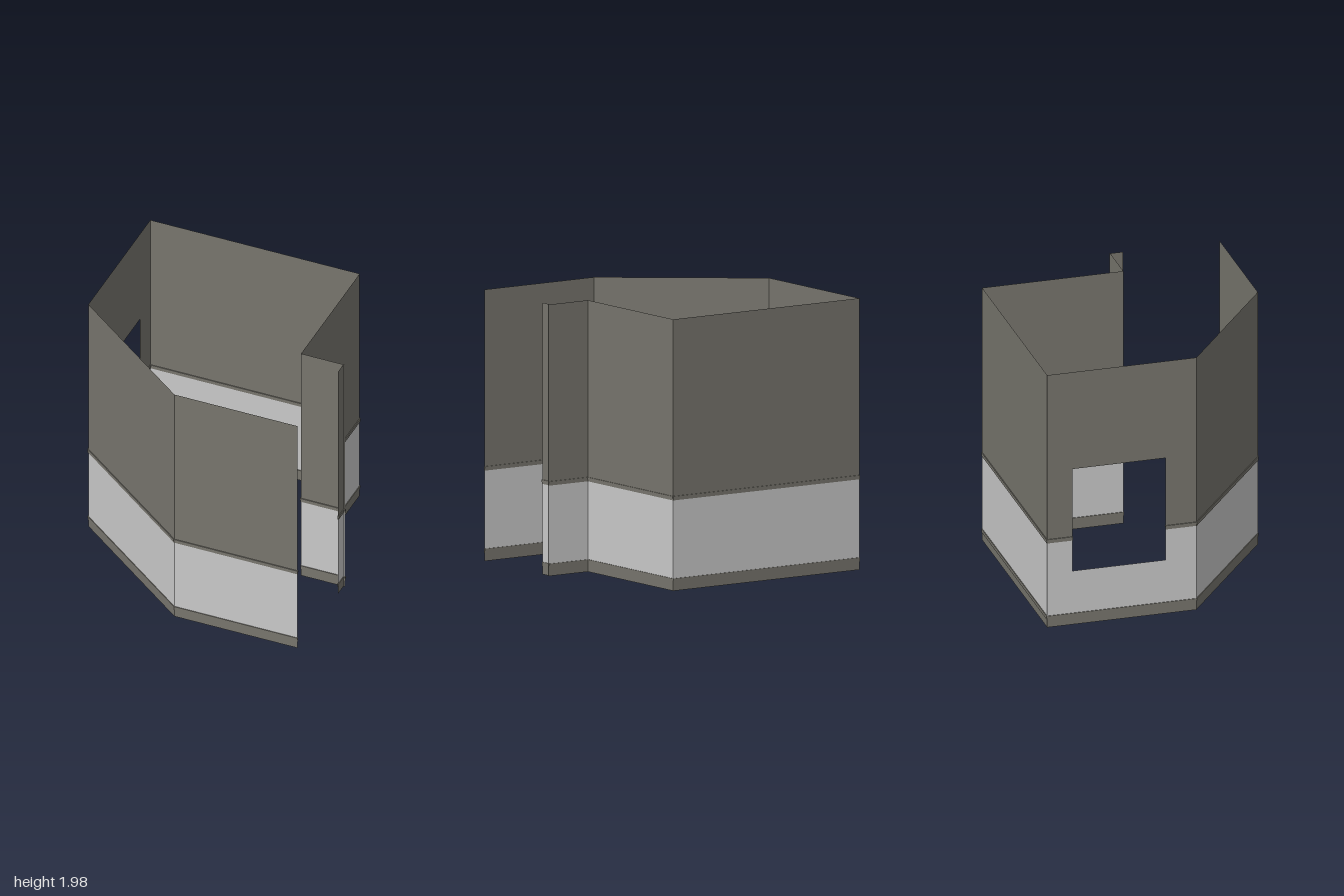
import * as THREE from 'three';

// Floor plan corners [x, z] of the open room shell
const WALLS = {
  frontWall: [[0.98, 0.94], [0.012, 0.94]],
  angledWall: [[0.012, 0.94], [-0.993, 0.18]],
  windowWall: [[-0.993, 0.18], [-0.993, -0.94]],
  backWall: [[-0.993, -0.94], [0.65, -0.94]],
  sideWall: [[0.65, -0.94], [0.65, 0.12]],
  returnWall: [[0.65, 0.12], [0.997, 0.12]],
  doorJamb: [[0.983, 0.12], [0.983, 0.215]],
};

// Heights of the wall bands
const TOP = 1.98, RAIL_TOP = 0.69, RAIL_LOW = 0.66, CAP_TOP = 0.09, CAP_LOW = 0.06;

// Window opening, as distance along the window wall and height
const WINDOW = { s0: 0.23, s1: 0.93, y0: 0.42, y1: 1.22 };

export function createModel() {
  const model = new THREE.Group();
  model.name = 'roomShell';

  const upperPaint = new THREE.MeshStandardMaterial({ color: 0x77756d, side: THREE.DoubleSide });
  upperPaint.name = 'warm grey paint';
  const lowerPaint = new THREE.MeshStandardMaterial({ color: 0xc9c9c9, side: THREE.DoubleSide });
  lowerPaint.name = 'light grey paint';

  for (const [name, [a, b]] of Object.entries(WALLS)) {
    const dx = b[0] - a[0], dz = b[1] - a[1];
    const length = Math.hypot(dx, dz);
    const wall = new THREE.Group();
    wall.name = name;
    wall.position.set(a[0], 0, a[1]);
    wall.rotation.y = Math.atan2(-dz, dx);
    model.add(wall);

    const add = (geometry, material, part, s, y) => {
      const mesh = new THREE.Mesh(geometry, material);
      mesh.position.set(s, y, 0);
      mesh.name = part;
      wall.add(mesh);
    };
    // Flat sheet between two distances and two heights
    const sheet = (part, material, s0, s1, y0, y1) =>
      add(new THREE.PlaneGeometry(s1 - s0, y1 - y0), material, part, (s0 + s1) / 2, (y0 + y1) / 2);
    // Stepped moulding on both faces of the wall
    const moulding = (part, s0, s1, y0, y1, depth) => {
      const mid = (y0 + y1) / 2;
      [[y0, mid, depth * 0.6], [mid, y1, depth]].forEach(([low, high, d]) =>
        add(new THREE.BoxGeometry(s1 - s0 + 0.004, high - low, d), upperPaint, part,
          (s0 + s1) / 2, (low + high) / 2));
    };

    // Baseboard and its cap
    sheet('baseboard', upperPaint, 0, length, 0, CAP_LOW);
    moulding('baseboardCap', 0, length, CAP_LOW, CAP_TOP, 0.01);

    if (name === 'windowWall') {
      const { s0, s1, y0, y1 } = WINDOW;
      sheet('panelBelowWindow', lowerPaint, 0, length, CAP_TOP, y0);
      sheet('panelAboveWindow', upperPaint, 0, length, y1, TOP);
      // Wall on either side of the opening
      for (const [from, to] of [[0, s0], [s1, length]]) {
        sheet('lowerPanel', lowerPaint, from, to, y0, RAIL_LOW);
        moulding('chairRail', from, to, RAIL_LOW, RAIL_TOP, 0.013);
        sheet('upperPanel', upperPaint, from, to, RAIL_TOP, y1);
      }
    } else {
      sheet('lowerPanel', lowerPaint, 0, length, CAP_TOP, RAIL_LOW);
      moulding('chairRail', 0, length, RAIL_LOW, RAIL_TOP, 0.013);
      sheet('upperPanel', upperPaint, 0, length, RAIL_TOP, TOP);
    }
  }
  return model;
}
